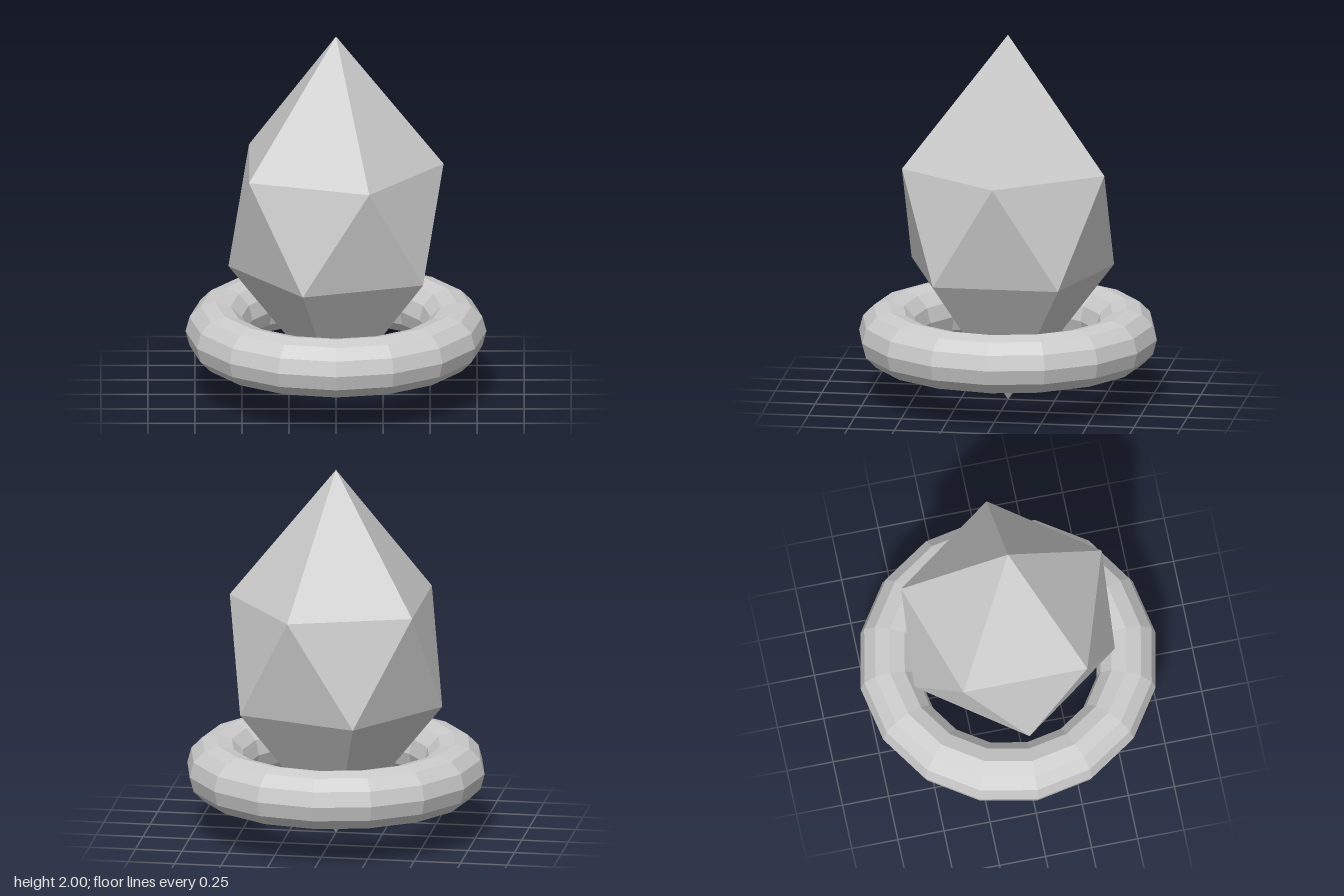
import * as THREE from 'three';

const grey = () => new THREE.MeshStandardMaterial({ color: 0xcccccc, flatShading: true });

// Elongated icosahedron: two staggered five-point rings between two apexes
function crystalGeometry(radius, lowerY, upperY, topY) {
  const ring = (y, turn) => (i) => {
    const a = ((i + turn) * Math.PI * 2) / 5;
    return [radius * Math.cos(a), y, radius * Math.sin(a)];
  };
  const upper = ring(upperY, 0);
  const lower = ring(lowerY, 0.5);
  const top = [0, topY, 0];
  const bottom = [0, 0, 0];
  const points = [];
  for (let i = 0; i < 5; i++) {
    points.push(
      top, upper(i + 1), upper(i),
      upper(i), upper(i + 1), lower(i),
      lower(i + 1), lower(i), upper(i + 1),
      lower(i), lower(i + 1), bottom
    );
  }
  const geometry = new THREE.BufferGeometry();
  geometry.setAttribute('position', new THREE.Float32BufferAttribute(points.flat(), 3));
  geometry.computeVertexNormals();
  return geometry;
}

export function createModel() {
  const model = new THREE.Group();
  model.name = 'crystalWithRing';

  // Faceted crystal standing on its point
  const crystal = new THREE.Mesh(crystalGeometry(0.572, 0.717, 1.289, 2), grey());
  crystal.name = 'crystal';
  model.add(crystal);

  // Low-poly ring around the lower tip
  const ring = new THREE.Mesh(new THREE.TorusGeometry(0.64, 0.16, 12, 16), grey());
  ring.name = 'ring';
  ring.rotation.x = Math.PI / 2;
  ring.position.y = 0.354;
  model.add(ring);

  return model;
}
